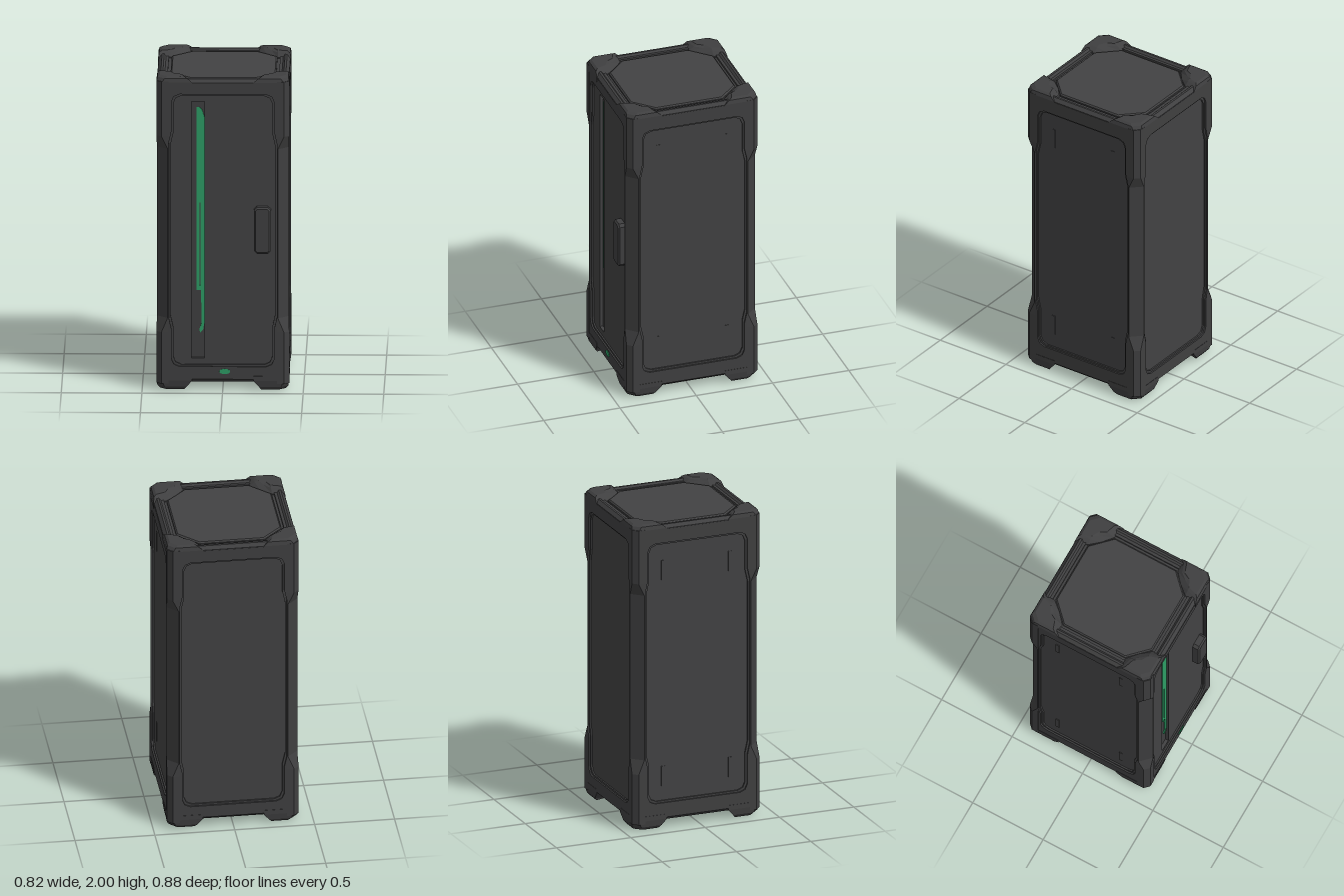
import * as THREE from 'three';

const HX = 0.41, HZ = 0.4265; // half width and half depth of the body

export function createModel() {
  const model = new THREE.Group();
  const body = new THREE.Group();
  body.name = 'body';
  body.position.z = -0.0125;
  model.add(body);

  const casing = new THREE.MeshStandardMaterial({ color: 0x3f3f40, flatShading: true });
  casing.name = 'dark grey casing';
  const panelGrey = new THREE.MeshStandardMaterial({ color: 0x424243 });
  panelGrey.name = 'panel grey';
  const green = new THREE.MeshStandardMaterial({ color: 0x2d9d65 });
  green.name = 'green light';

  const add = (name, geo, mat, x = 0, y = 0, z = 0, parent = body) => {
    const m = new THREE.Mesh(geo, mat);
    m.name = name;
    m.position.set(x, y, z);
    parent.add(m);
    return m;
  };
  const box = (w, h, d) => new THREE.BoxGeometry(w, h, d);
  const poly = (pts) => new THREE.Shape(pts.map(([x, y]) => new THREE.Vector2(x, y)));
  const extrude = (shape, depth, bevel = 0) => new THREE.ExtrudeGeometry(shape, {
    depth, bevelEnabled: bevel > 0, bevelSize: bevel, bevelThickness: bevel, bevelSegments: 1,
  });

  // rectangle with cut corners, between two corner points
  const octagon = (x0, y0, x1, y1, c) => [
    [x0 + c, y0], [x1 - c, y0], [x1, y0 + c], [x1, y1 - c],
    [x1 - c, y1], [x0 + c, y1], [x0, y1 - c], [x0, y0 + c],
  ];
  // panel opening that narrows towards its top and bottom
  const opening = (w, y0, y1, c = 0.05) => {
    const n = w - 0.018;
    const right = [[n - c, y0], [n - c * 0.3, y0 + c * 0.3], [n, y0 + c], [n, y0 + 0.24], [w, y0 + 0.32],
      [w, y1 - 0.32], [n, y1 - 0.24], [n, y1 - c], [n - c * 0.3, y1 - c * 0.3], [n - c, y1]];
    return [...right, ...right.map(([x, y]) => [-x, y]).reverse()];
  };

  // closed solid through rings of [x, y, z] points, flipped where mirrored
  const loft = (rings, flip) => {
    const n = rings[0].length, idx = [];
    const tri = (a, b, c) => (flip ? idx.push(a, c, b) : idx.push(a, b, c));
    for (let r = 0; r < rings.length - 1; r++) {
      for (let i = 0; i < n; i++) {
        const a = r * n + i, b = r * n + (i + 1) % n;
        tri(a, a + n, b);
        tri(b, a + n, b + n);
      }
    }
    const last = (rings.length - 1) * n;
    for (let i = 1; i < n - 1; i++) {
      tri(0, i, i + 1);
      tri(last, last + i + 1, last + i);
    }
    const g = new THREE.BufferGeometry();
    g.setAttribute('position', new THREE.Float32BufferAttribute(rings.flat(2), 3));
    g.setIndex(idx);
    const flat = g.toNonIndexed();
    flat.computeVertexNormals();
    return flat;
  };

  // four walls: frame, stepped inner lip and recessed panel
  const wall = (name, half, dist, turn, y0, y1) => {
    const side = new THREE.Group();
    side.name = name;
    side.rotation.y = turn;
    body.add(side);
    const w = half - 0.07;
    const ring = (inner, depth, front) => {
      const s = poly([[-w, 0.07], [w, 0.07], [w, 1.96], [-w, 1.96]]);
      s.holes.push(poly(inner));
      const g = extrude(s, depth);
      g.translate(0, 0, front - depth);
      return g;
    };
    add(name + 'Frame', ring(opening(w - 0.003, y0, y1), 0.03, dist), casing, 0, 0, 0, side);
    add(name + 'Lip', ring(opening(w - 0.015, y0 + 0.012, y1 - 0.012), 0.03, dist - 0.01), casing, 0, 0, 0, side);
    return side;
  };
  const front = wall('front', HX, HZ, 0, 0.15, 1.89);
  const others = [
    wall('back', HX, HZ, Math.PI, 0.15, 1.88),
    wall('leftSide', HZ, HX, Math.PI / 2, 0.165, 1.87),
    wall('rightSide', HZ, HX, -Math.PI / 2, 0.165, 1.87),
  ];
  others.forEach((side, i) => {
    const half = i ? HZ : HX, dist = i ? HX : HZ;
    add('sidePanel', box(2 * half - 0.14, 1.86, 0.03), panelGrey, 0, 1.015, dist - 0.035, side);
    // small raised clips on the two sides
    if (i) for (const x of [-0.225, 0.225]) for (const y of [0.335, 1.685]) {
      add('clip', box(0.024, 0.13, 0.006), panelGrey, x, y, dist - 0.0195, side);
    }
  });

  // front door with a vertical slot
  const door = poly([[-0.34, 0.08], [0.34, 0.08], [0.34, 1.95], [-0.34, 1.95]]);
  door.holes.push(poly([[-0.195, 0.2], [-0.113, 0.2], [-0.113, 1.84], [-0.195, 1.84]]));
  add('door', extrude(door, 0.03), panelGrey, 0, 0, HZ - 0.05, front);
  add('slotFloor', box(0.1, 1.7, 0.01), casing, -0.157, 1.02, HZ - 0.046, front);
  const light = poly([[-0.162, 0.63], [-0.135, 0.63], [-0.132, 0.42], [-0.146, 0.38], [-0.14, 0.36],
    [-0.122, 0.38], [-0.115, 0.42], [-0.115, 1.74], [-0.13, 1.785], [-0.145, 1.8], [-0.162, 1.8]]);
  light.holes.push(poly([[-0.146, 0.66], [-0.139, 0.66], [-0.139, 1.19], [-0.146, 1.19]]));
  add('lightStrip', extrude(light, 0.009), green, 0, 0, HZ - 0.0415, front);
  const lamp = add('lamp', new THREE.CylinderGeometry(0.034, 0.034, 0.008, 16), green, 0.012, 0.12, HZ - 0.001, front);
  lamp.rotation.x = Math.PI / 2;
  lamp.scale.z = 0.5;

  // door handle
  const grip = poly(octagon(0.204, 0.887, 0.288, 1.163, 0.012));
  add('handle', extrude(grip, 0.045, 0.01), casing, 0, 0, HZ - 0.027, front);

  // top and bottom: bevelled rim with a hole, groove floor and raised plate
  for (const up of [true, false]) {
    const end = new THREE.Group();
    end.name = up ? 'top' : 'bottom';
    end.rotation.x = up ? -Math.PI / 2 : Math.PI / 2;
    end.position.y = up ? 1.983 : 0.05;
    body.add(end);
    const rim = poly(octagon(-HX + 0.022, -HZ + 0.022, HX - 0.022, HZ - 0.022, 0.06));
    rim.holes.push(poly(octagon(-0.375, -0.39, 0.375, 0.39, 0.1)));
    add('rim', extrude(rim, 0.02, 0.02), casing, 0, 0, -0.04, end);
    const step = poly(octagon(-0.38, -0.395, 0.38, 0.395, 0.08));
    step.holes.push(poly(octagon(-0.345, -0.36, 0.345, 0.36, 0.12)));
    add('rimStep', extrude(step, 0.03), casing, 0, 0, -0.042, end);
    add('grooveFloor', box(0.76, 0.79, 0.01), casing, 0, 0, -0.03, end);
    add('endPlate', extrude(poly(octagon(-0.32, -0.335, 0.32, 0.335, 0.12)), 0.02, 0.008), panelGrey, 0, 0, -0.036, end);
  }

  // corner posts with a wide cut along the middle, plus caps and feet
  for (const sx of [1, -1]) for (const sz of [1, -1]) {
    const flip = sx * sz < 0;
    const at = (dx, dz, y) => [sx * (HX - dx), y, sz * (HZ - dz)];
    // height, edge cut and outer inset of each post section
    const post = [[0.04, 0.03, -0.002], [0.37, 0.03, -0.002], [0.46, 0.068, 0.001],
      [1.54, 0.068, 0.001], [1.62, 0.03, -0.002], [1.97, 0.03, -0.002]]
      .map(([y, c, o]) => [at(0.075, 0.075, y), at(o, 0.075, y), at(o, c, y), at(c, o, y), at(0.075, o, y)]);
    add('cornerPost', loft(post, flip), casing);

    // plan of a cap: e is the outer inset, i the inner slope, k the edge cut
    const plan = (y, e, i, k) => [
      at(e, k + e, y), at(k + e, e, y), at(0.22 - i, e, y), at(0.2 - i, 0.08, y),
      at(0.145 - i * 0.8, 0.145 - i * 0.8, y), at(0.08, 0.2 - i, y), at(e, 0.22 - i, y),
    ];
    const cap = [plan(1.93, -0.002, 0, 0.032), plan(1.965, -0.002, 0, 0.035),
      plan(1.99, 0.004, 0.03, 0.045), plan(2, 0.02, 0.05, 0.045)];
    const foot = [plan(0, 0.02, 0.05, 0.045), plan(0.02, 0.004, 0.035, 0.045),
      plan(0.06, -0.002, 0, 0.035), plan(0.09, -0.002, 0, 0.032)];
    add('cornerCap', loft(cap, flip), casing);
    add('foot', loft(foot, flip), casing);
  }
  return model;
}
